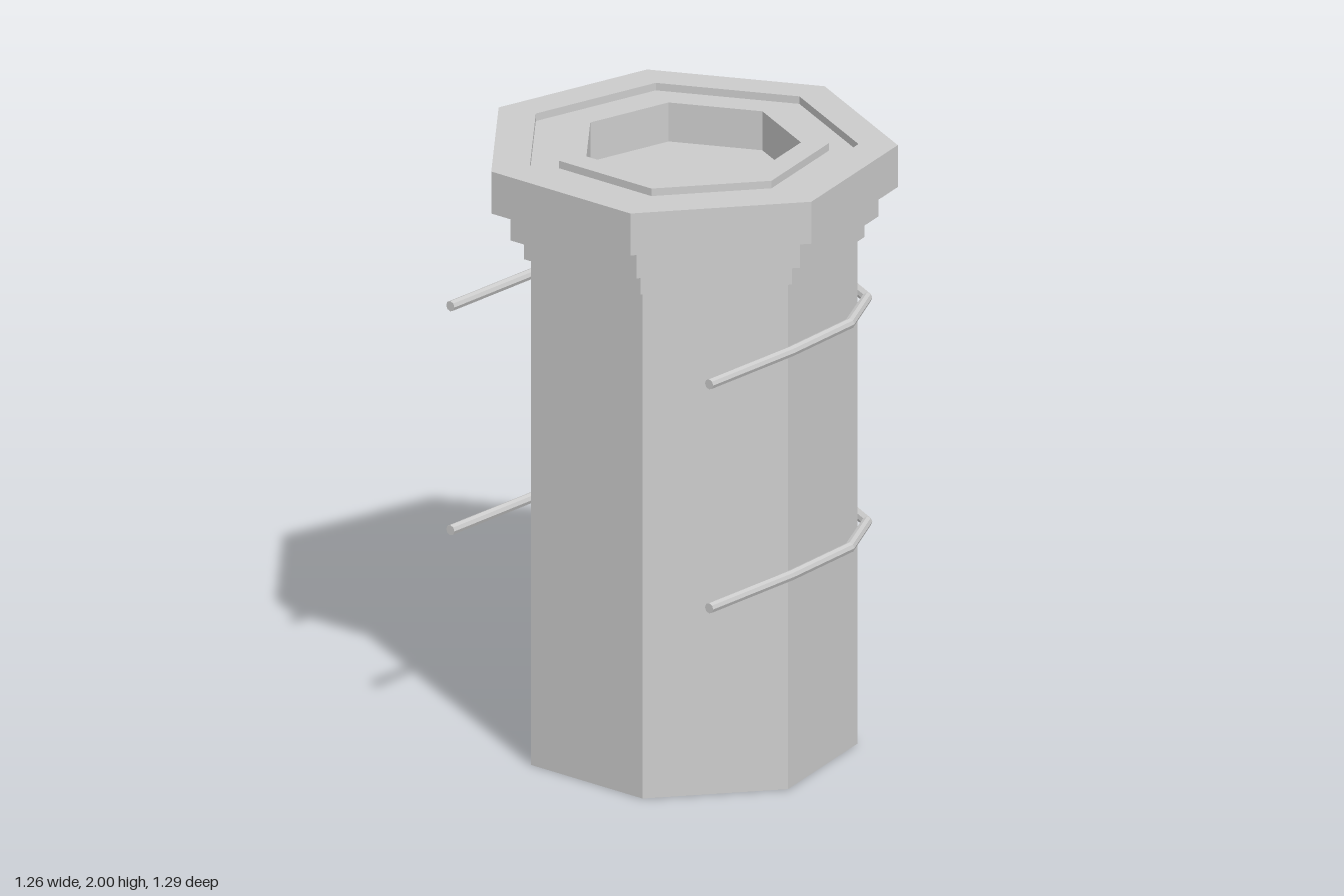
import * as THREE from 'three';

const SIDES = 7;
const material = new THREE.MeshStandardMaterial({ color: 0xcccccc, flatShading: true, side: THREE.DoubleSide });

// Seven-sided turned part, one corner towards +x, shifted so its width is centred on x = 0
function heptagonal(name, profile) {
  const points = profile.map(([r, y]) => new THREE.Vector2(r, y));
  const geometry = new THREE.LatheGeometry(points, SIDES, Math.PI / 2);
  const pos = geometry.attributes.position;
  for (let i = 0; i < pos.count; i++) {
    const x = pos.getX(i);
    pos.setX(i, x - 0.0495 * Math.hypot(x, pos.getZ(i)));
  }
  const mesh = new THREE.Mesh(geometry, material);
  mesh.name = name;
  return mesh;
}

// Straight-segment path whose samples fall exactly on its corners
class Polyline extends THREE.Curve {
  constructor(points) {
    super();
    this.points = points;
  }
  getPoint(t, target = new THREE.Vector3()) {
    const f = t * (this.points.length - 1);
    const i = Math.min(Math.floor(f + 1e-6), this.points.length - 2);
    return target.lerpVectors(this.points[i], this.points[i + 1], f - i);
  }
  getPointAt(t, target) {
    return this.getPoint(t, target);
  }
  getTangentAt(t, target = new THREE.Vector3()) {
    const d = 0.01;
    return target.copy(this.getPoint(Math.min(1, t + d))).sub(this.getPoint(Math.max(0, t - d))).normalize();
  }
}

// U-shaped wire wrapped round the +x side, open towards -x
function wireBand(name, y) {
  const half = [[-0.54, 0.535], [-0.15, 0.535], [0.16, 0.51], [0.37, 0.4], [0.5, 0.137]];
  const mirrored = half.map(([x, z]) => [x, -z]).reverse();
  const points = [...half, ...mirrored].map(([x, z]) => new THREE.Vector3(x, 0, z));
  const group = new THREE.Group();
  group.name = name;
  const radius = 0.017;
  const wire = new THREE.Mesh(
    new THREE.TubeGeometry(new Polyline(points), points.length - 1, radius, 8), material);
  wire.name = 'wire';
  group.add(wire);
  // End caps
  for (const z of [0.535, -0.535]) {
    const end = new THREE.Mesh(new THREE.CircleGeometry(radius, 8), material);
    end.name = 'wireEnd';
    end.rotation.y = -Math.PI / 2;
    end.position.set(-0.54, 0, z);
    group.add(end);
  }
  group.position.y = y;
  return group;
}

export function createModel() {
  const model = new THREE.Group();
  model.name = 'pillar';
  const shaftR = 0.533;

  // Hollow shaft, open at the bottom
  model.add(heptagonal('shaft', [[shaftR, 0], [shaftR, 1.87]]));

  // Stepped collar below the cap
  model.add(heptagonal('collar', [
    [shaftR, 1.69], [0.555, 1.69], [0.555, 1.76], [0.6, 1.76], [0.6, 1.86],
  ]));

  // Cap with a shallow groove, an inner ring and a sunken basin
  model.add(heptagonal('cap', [
    [shaftR, 1.86], [0.663, 1.86], [0.663, 2], [0.536, 2], [0.536, 1.975],
    [0.44, 1.975], [0.44, 2], [0.35, 2], [0.35, 1.87], [0, 1.87],
  ]));

  // Wires
  model.add(wireBand('lowerWire', 0.718));
  model.add(wireBand('upperWire', 1.465));
  return model;
}
